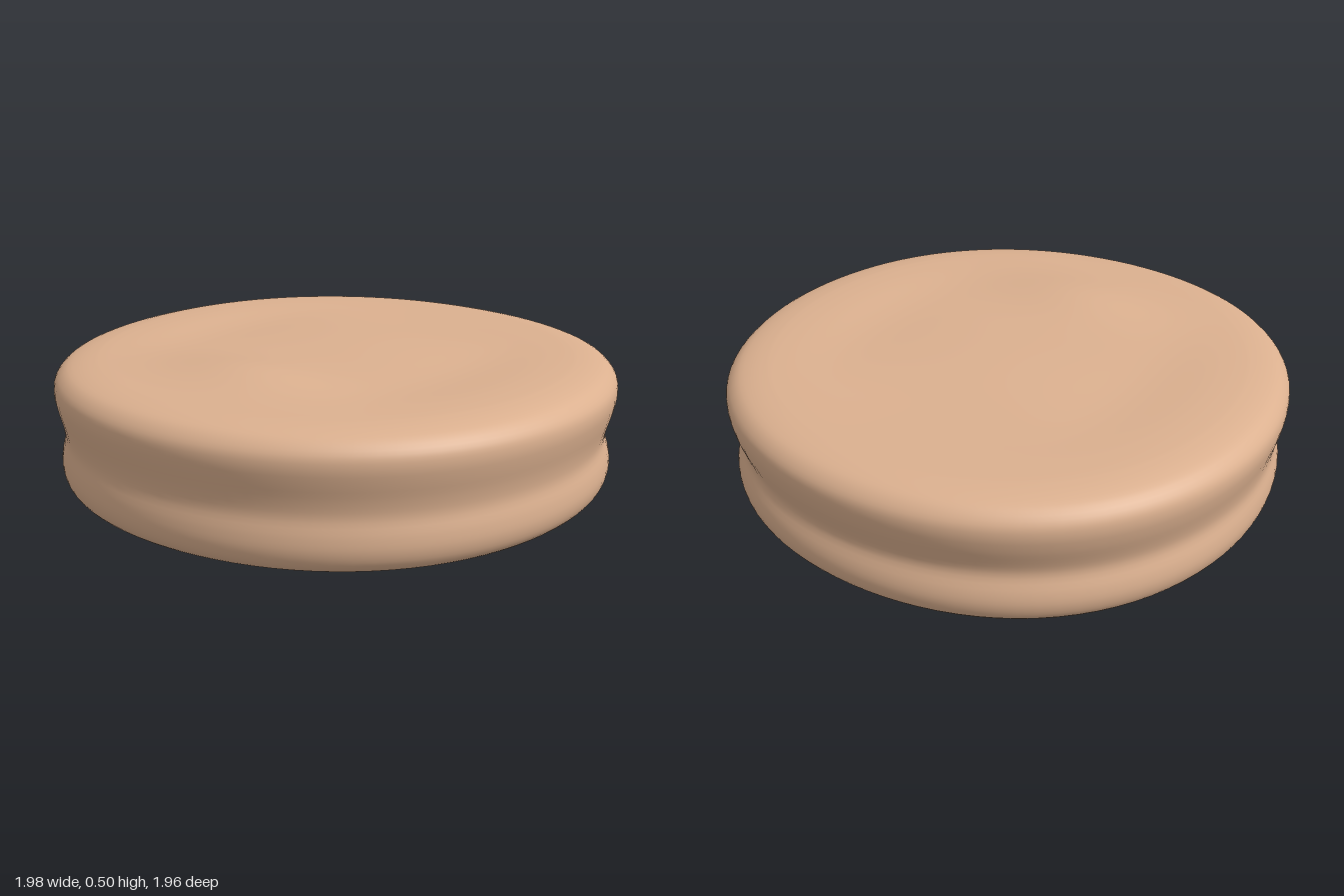
import * as THREE from 'three';
import { mergeVertices } from 'three/addons/utils/BufferGeometryUtils.js';

// Smooth bump centred on (cx, cz)
const bump = (x, z, cx, cz, sx, sz) =>
  Math.exp(-(((x - cx) / sx) ** 2) - ((z - cz) / sz) ** 2);

// Rim radius around the slightly irregular disc; a = 0 faces the front
const rimRadius = (a) => 0.992 + 0.008 * Math.sin(a) ** 2 - 0.008 * Math.cos(4 * a)
  + 0.004 * Math.cos(3 * a + 1);

export function createModel() {
  const group = new THREE.Group();
  group.name = 'cushion';

  // Side profile: rounded lower edge, shallow waist, rounded upper edge
  const side = new THREE.SplineCurve([
    [0.88, 0.012], [0.935, 0.024], [0.97, 0.055], [0.984, 0.1], [0.981, 0.15],
    [0.969, 0.205], [0.975, 0.26], [0.99, 0.32], [0.998, 0.37], [0.99, 0.412],
    [0.955, 0.447], [0.9, 0.463], [0.84, 0.469],
  ].map(([r, y]) => new THREE.Vector2(r, y))).getPoints(40);

  // Flat underside and finely divided top
  const profile = [new THREE.Vector2(0, 0.008), new THREE.Vector2(0.45, 0.008), ...side];
  for (let i = 1; i <= 24; i++) profile.push(new THREE.Vector2(0.84 * (1 - i / 24), 0.469));

  let geo = new THREE.LatheGeometry(profile, 96);
  geo.deleteAttribute('uv');
  geo.deleteAttribute('normal');

  // Shape the outline, deepen the waist at the back and swell the top
  const p = geo.attributes.position;
  for (let i = 0; i < p.count; i++) {
    let x = p.getX(i), y = p.getY(i), z = p.getZ(i);
    const r = Math.hypot(x, z);
    const a = Math.atan2(x, z);
    const waist = Math.exp(-(((y - 0.21) / 0.06) ** 2));
    const back = Math.max(0, -Math.cos(a));
    const scale = rimRadius(a) - (r > 0.9 ? 0.014 * back * waist : 0);
    x *= scale;
    z *= scale;
    if (y > 0.44) {
      const ring = Math.exp(-(((r - 0.75) / 0.14) ** 2)) * Math.sin(a) ** 2;
      y += 0.036 * bump(x, z, 0, 0.48, 0.32, 0.19)
        + 0.011 * bump(x, z, 0, -0.1, 0.38, 0.28)
        + 0.007 * ring
        - 0.006 * bump(x, z, 0, -0.5, 0.35, 0.15)
        - 0.006 * (bump(x, z, 0.5, 0, 0.16, 0.4) + bump(x, z, -0.5, 0, 0.16, 0.4));
    }
    p.setXYZ(i, x, y, z);
  }
  geo = mergeVertices(geo, 1e-4);
  geo.computeVertexNormals();

  const pad = new THREE.Mesh(geo, new THREE.MeshStandardMaterial({ color: 0xdbb08f }));
  pad.name = 'roundPad';
  group.add(pad);
  return group;
}
